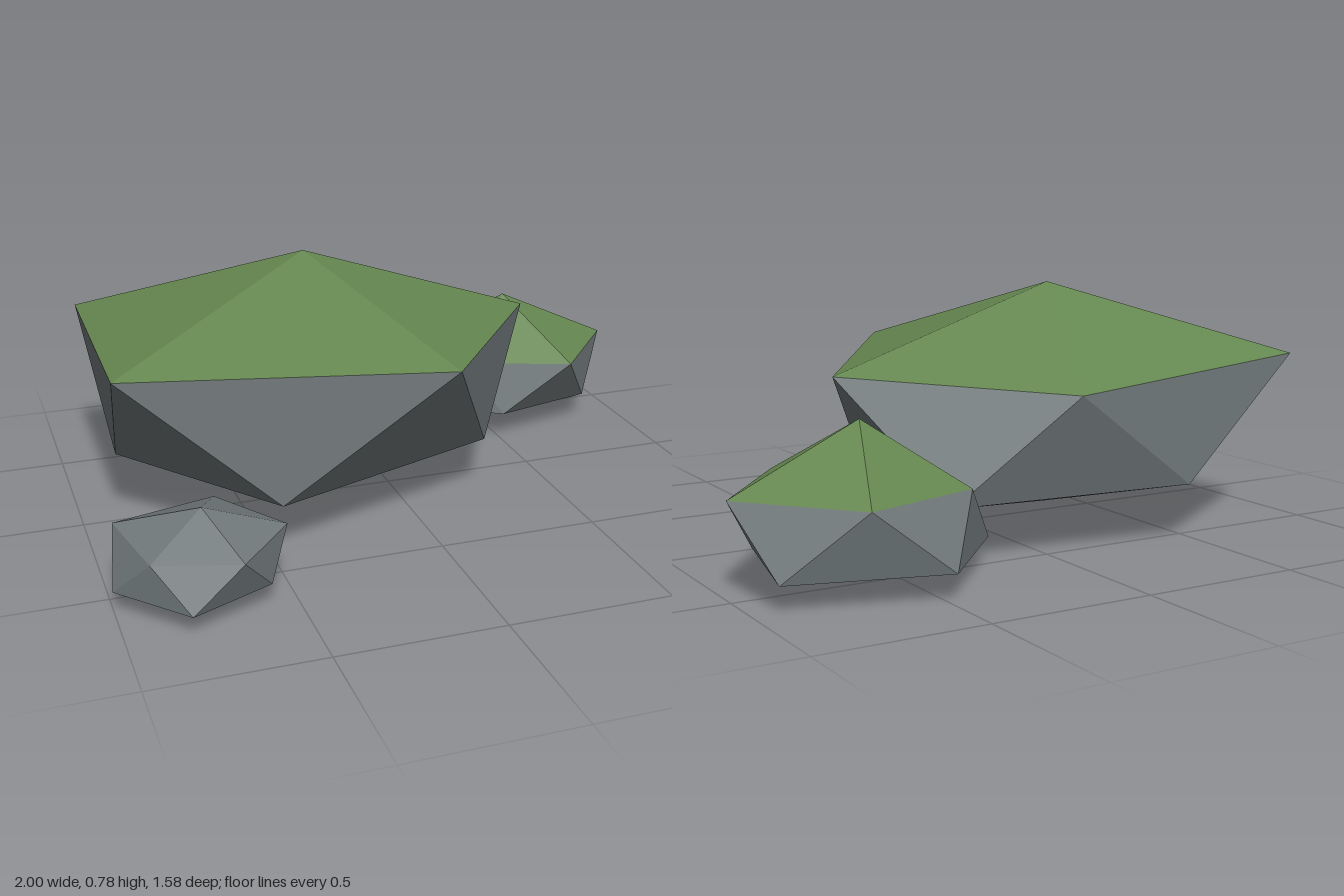
import * as THREE from 'three';

const stone = new THREE.MeshStandardMaterial({ color: 0x70787a, side: THREE.FrontSide });
stone.name = 'stone grey';
const moss = new THREE.MeshStandardMaterial({ color: 0x64864f, side: THREE.FrontSide });
moss.name = 'moss green';

// Unshared triangles keep every facet flat
function facets(name, triangles, material) {
  const geometry = new THREE.BufferGeometry();
  geometry.setAttribute('position', new THREE.Float32BufferAttribute(triangles.flat(2), 3));
  geometry.computeVertexNormals();
  const mesh = new THREE.Mesh(geometry, material);
  mesh.name = name;
  return mesh;
}

// A boulder is a squashed icosahedron: tip, upper ring, staggered lower ring, base.
// Rings run clockwise seen from above; lower[i] sits between upper[i] and upper[i + 1].
function boulder({ name, tip, upper, lower, base, capMaterial }) {
  const cap = [], body = [];
  upper.forEach((u, i) => {
    const j = (i + 1) % upper.length;
    cap.push([tip, upper[j], u]);
    body.push([u, upper[j], lower[i]], [lower[i], upper[j], lower[j]], [base, lower[i], lower[j]]);
  });
  const group = new THREE.Group();
  group.name = name;
  group.add(facets(name + 'Cap', cap, capMaterial), facets(name + 'Body', body, stone));
  return group;
}

const boulders = [
  {
    name: 'largeBoulder', capMaterial: moss,
    tip: [-0.24, 0.78, -0.13], base: [-0.24, 0.065, -0.13],
    upper: [[-0.915, 0.55, -0.53], [-0.035, 0.49, -0.63], [0.52, 0.525, -0.13], [0.035, 0.57, 0.545], [-0.925, 0.555, 0.27]],
    lower: [[-0.46, 0.18, -0.595], [0.315, 0.172, -0.49], [0.27, 0.182, 0.17], [-0.47, 0.168, 0.42], [-0.87, 0.168, -0.13]],
  },
  {
    name: 'mediumBoulder', capMaterial: moss,
    tip: [0.6, 0.455, -0.465], base: [0.6, 0.035, -0.465],
    upper: [[0.335, 0.26, -0.63], [0.715, 0.265, -0.765], [0.995, 0.27, -0.47], [0.73, 0.275, -0.15], [0.4, 0.25, -0.35]],
    lower: [[0.475, 0.075, -0.79], [0.93, 0.075, -0.66], [0.86, 0.09, -0.31], [0.51, 0.09, -0.22], [0.185, 0.072, -0.47]],
  },
  {
    name: 'smallBoulder', capMaterial: stone,
    tip: [-0.745, 0.28, 0.58], base: [-0.745, 0, 0.58],
    upper: [[-0.97, 0.2, 0.43], [-0.66, 0.2, 0.35], [-0.5, 0.19, 0.575], [-0.67, 0.185, 0.77], [-0.91, 0.175, 0.675]],
    lower: [[-0.82, 0.06, 0.38], [-0.58, 0.06, 0.485], [-0.575, 0.065, 0.68], [-0.82, 0.06, 0.785], [-1, 0.06, 0.575]],
  },
];

export function createModel() {
  const group = new THREE.Group();
  group.name = 'mossyBoulders';
  boulders.forEach((b) => group.add(boulder(b)));
  return group;
}
